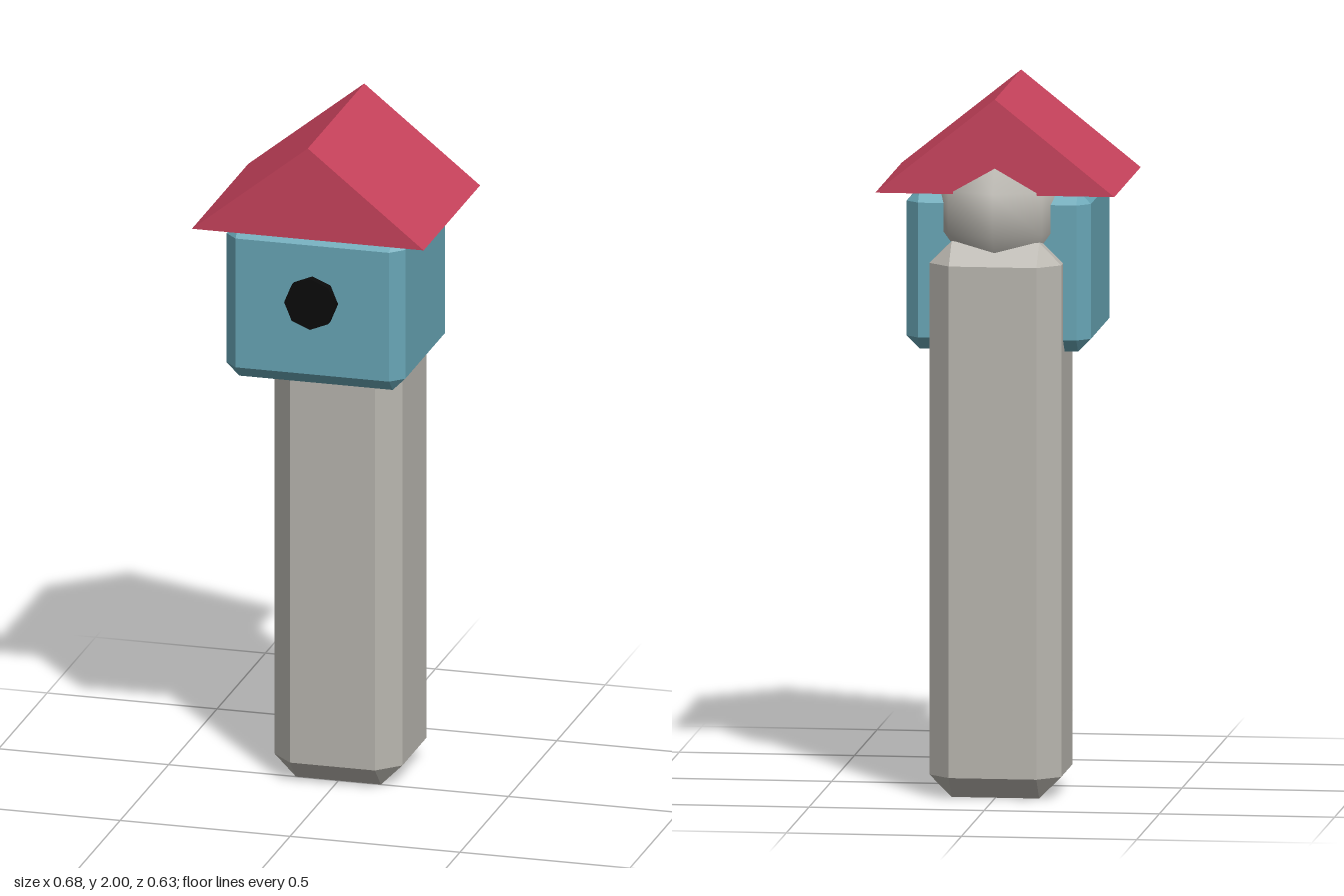
import * as THREE from 'three';
import { ConvexGeometry } from 'three/addons/geometries/ConvexGeometry.js';

const makeMaterial = (name, color) => {
  const m = new THREE.MeshStandardMaterial({ color });
  m.name = name;
  return m;
};

// Box with every edge cut by a chamfer c: the hull of three crossed slabs.
function chamferBox(w, h, d, c) {
  const points = [];
  for (const x of [-w / 2, w / 2])
    for (const y of [-h / 2, h / 2])
      for (const z of [-d / 2, d / 2]) {
        const ix = x - Math.sign(x) * c;
        const iy = y - Math.sign(y) * c;
        const iz = z - Math.sign(z) * c;
        points.push(
          new THREE.Vector3(x, iy, iz),
          new THREE.Vector3(ix, y, iz),
          new THREE.Vector3(ix, iy, z)
        );
      }
  return new ConvexGeometry(points);
}

export function createModel() {
  const model = new THREE.Group();
  model.name = 'birdhouse';

  const stone = makeMaterial('grey post', 0xb9b6af);
  const teal = makeMaterial('teal walls', 0x68a6b6);
  const red = makeMaterial('red roof', 0xc8425c);
  const black = makeMaterial('black opening', 0x0a0a0a);

  const add = (name, geometry, material, x, y, z) => {
    const mesh = new THREE.Mesh(geometry, material);
    mesh.name = name;
    mesh.position.set(x, y, z);
    model.add(mesh);
    return mesh;
  };

  // Post with a low-poly ball on top, behind the house
  const postZ = -0.126;
  add('post', chamferBox(0.376, 1.59, 0.378, 0.063), stone, 0, 0.795, postZ);
  add('postBall', new THREE.SphereGeometry(0.199, 8, 5), stone, 0, 1.673, postZ);

  // House body
  add('house', chamferBox(0.526, 0.46, 0.484, 0.037), teal, 0, 1.5, 0.028);

  // Round entrance, an eight-sided disc standing out of the front wall
  const entrance = add('entrance', new THREE.CylinderGeometry(0.076, 0.076, 0.05, 8), black, 0, 1.525, 0.27);
  entrance.rotation.x = Math.PI / 2;

  // Gable roof
  const gable = new THREE.Shape();
  gable.moveTo(-0.341, 0);
  gable.lineTo(0.341, 0);
  gable.lineTo(0, 0.273);
  gable.closePath();
  const roof = new THREE.ExtrudeGeometry(gable, { depth: 0.583, bevelEnabled: false });
  add('roof', roof, red, 0, 1.727, -0.266);

  return model;
}
